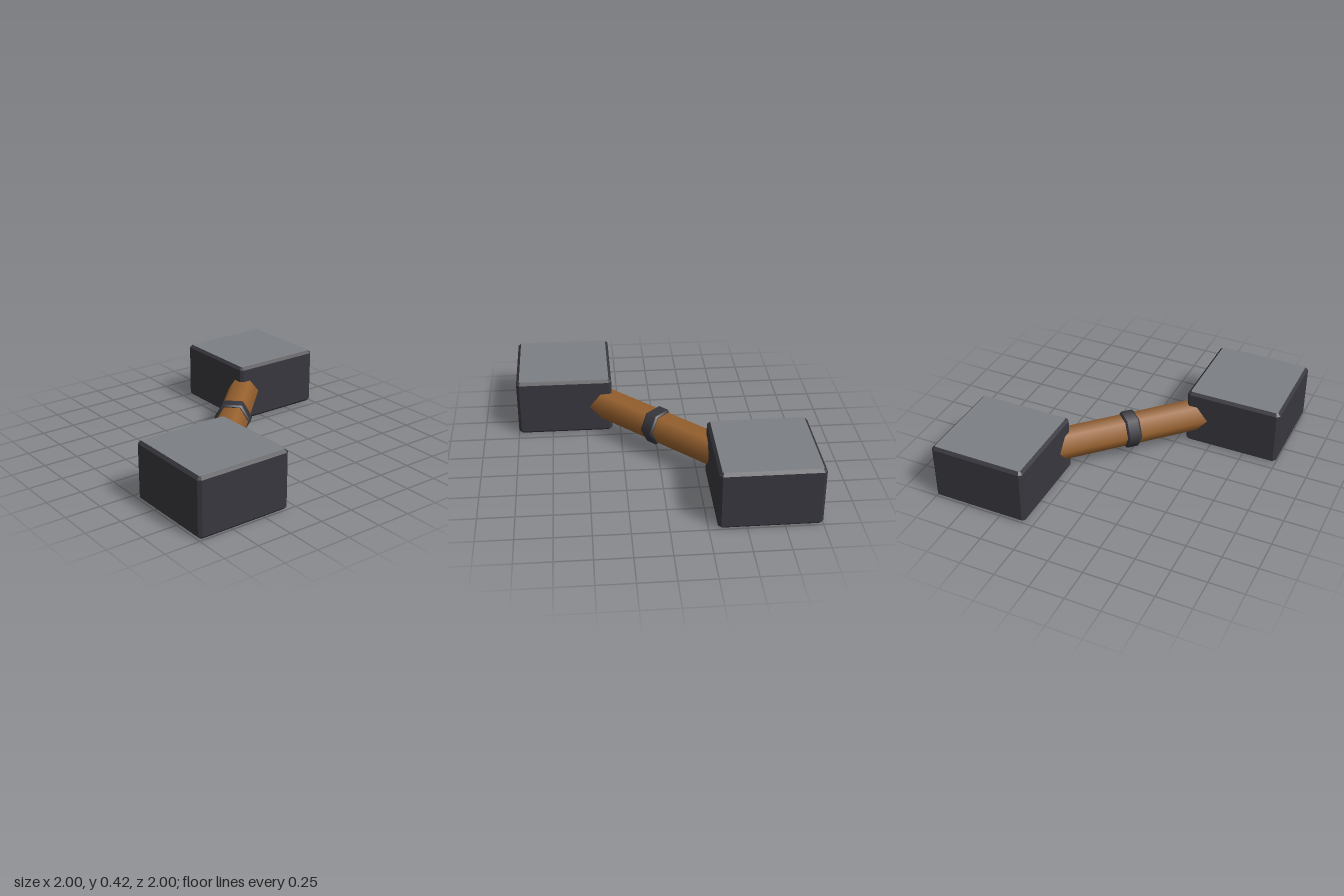
import * as THREE from 'three';
import { mergeGeometries } from 'three/addons/utils/BufferGeometryUtils.js';

const material = (name, color) => Object.assign(new THREE.MeshStandardMaterial({ color }), { name });

const SIZE = 0.69, HEIGHT = 0.42, CHAMFER = 0.02, CENTRE = 0.655, AXIS_Y = 0.21;

// Square block with every edge chamfered; group 0 is the top and bottom, group 1 the sides
function blockGeometry() {
  const h = SIZE / 2, k = h - CHAMFER;
  const outline = [[h, -k], [h, k], [k, h], [-k, h], [-h, k], [-h, -k], [-k, -h], [k, -h]];
  const shape = new THREE.Shape(outline.map(([x, y]) => new THREE.Vector2(x, y)));
  return new THREE.ExtrudeGeometry(shape, {
    depth: HEIGHT - 2 * CHAMFER,
    bevelEnabled: true,
    bevelSegments: 1,
    bevelSize: CHAMFER,
    bevelThickness: CHAMFER,
    bevelOffset: -CHAMFER,
  }).rotateX(-Math.PI / 2).translate(0, CHAMFER, 0);
}

// Six-sided collar with bevelled rims
function collarGeometry(radius, halfWidth, bevel) {
  const band = 2 * (halfWidth - bevel);
  const offset = halfWidth - bevel / 2;
  return mergeGeometries([
    new THREE.CylinderGeometry(radius, radius, band, 6, 1, true),
    new THREE.CylinderGeometry(radius - bevel, radius, bevel, 6).translate(0, offset, 0),
    new THREE.CylinderGeometry(radius, radius - bevel, bevel, 6).translate(0, -offset, 0),
  ]);
}

export function createModel() {
  const iron = material('darkIron', 0x38373e);
  const steel = material('greySteel', 0x7c7f84);
  const wood = material('brownWood', 0x99622f);
  const model = new THREE.Group();
  model.name = 'doubleBlockBar';

  // Two heavy blocks at opposite corners
  const block = blockGeometry();
  for (const [name, side] of [['frontBlock', 1], ['backBlock', -1]]) {
    const mesh = new THREE.Mesh(block, [steel, iron]);
    mesh.name = name;
    mesh.position.set(side * CENTRE, 0, side * CENTRE);
    model.add(mesh);
  }

  // Diagonal handle with its collar, flat sides up and down
  const handle = new THREE.Group();
  handle.name = 'handle';
  handle.position.y = AXIS_Y;
  handle.rotation.y = -Math.PI / 4;
  const shaft = new THREE.Mesh(new THREE.CylinderGeometry(0.114, 0.114, 1.5, 6), wood);
  shaft.name = 'shaft';
  const collar = new THREE.Mesh(collarGeometry(0.132, 0.052, 0.012), iron);
  collar.name = 'collar';
  for (const part of [shaft, collar]) {
    part.rotation.z = Math.PI / 2;
    handle.add(part);
  }
  model.add(handle);

  return model;
}
